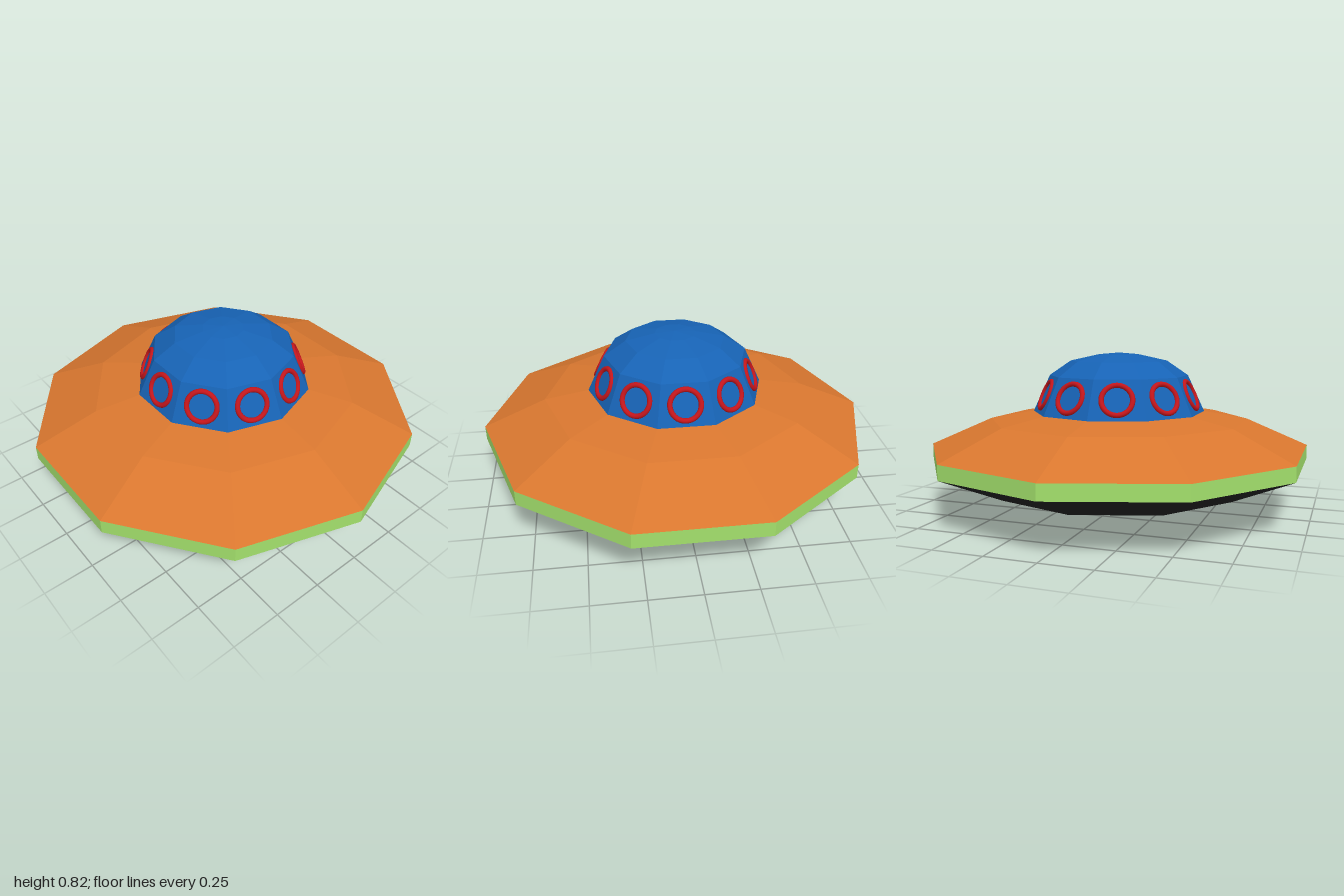
import * as THREE from 'three';

const SIDES = 10;

// Faceted ten-sided shell turned from a profile of [radius, height] points
function shell(name, profile, color) {
  const points = profile.map(([r, y]) => new THREE.Vector2(r, y));
  const geometry = new THREE.LatheGeometry(points, SIDES, Math.PI / 2);
  const mesh = new THREE.Mesh(geometry, new THREE.MeshStandardMaterial({ color, flatShading: true }));
  mesh.name = name;
  return mesh;
}

export function createModel() {
  const saucer = new THREE.Group();
  saucer.name = 'flyingSaucer';

  // Hull: dark belly, green rim band, orange upper deck
  saucer.add(shell('belly', [[0, 0], [0.35, 0.036], [0.68, 0.117], [1, 0.255]], 0x222222));
  saucer.add(shell('rim', [[1, 0.255], [1, 0.33]], 0xa3e06c));
  saucer.add(shell('upperDeck', [[1, 0.33], [0.68, 0.47], [0.45, 0.51], [0, 0.51]], 0xd9772f));

  // Cockpit dome
  const base = [0.452, 0.51];
  const shoulder = [0.364, 0.7];
  saucer.add(shell('dome', [base, shoulder, [0.253, 0.776], [0.105, 0.809], [0, 0.818]], 0x1763b5));

  // One ring window lying on each lower face of the dome
  const apothem = Math.cos(Math.PI / SIDES);
  const tilt = Math.atan2((base[0] - shoulder[0]) * apothem, shoulder[1] - base[1]);
  const ringGeometry = new THREE.TorusGeometry(0.075, 0.013, 10, 32);
  const ringMaterial = new THREE.MeshStandardMaterial({ color: 0xc4161c });
  const windows = new THREE.Group();
  windows.name = 'windowRings';
  for (let i = 0; i < SIDES; i++) {
    const pivot = new THREE.Group();
    pivot.name = 'windowRing';
    pivot.rotation.y = (i / SIDES) * Math.PI * 2;
    const ring = new THREE.Mesh(ringGeometry, ringMaterial);
    ring.name = 'ring';
    ring.position.set(0, 0.605, 0.408 * apothem);
    ring.rotation.x = -tilt;
    pivot.add(ring);
    windows.add(pivot);
  }
  saucer.add(windows);

  return saucer;
}
